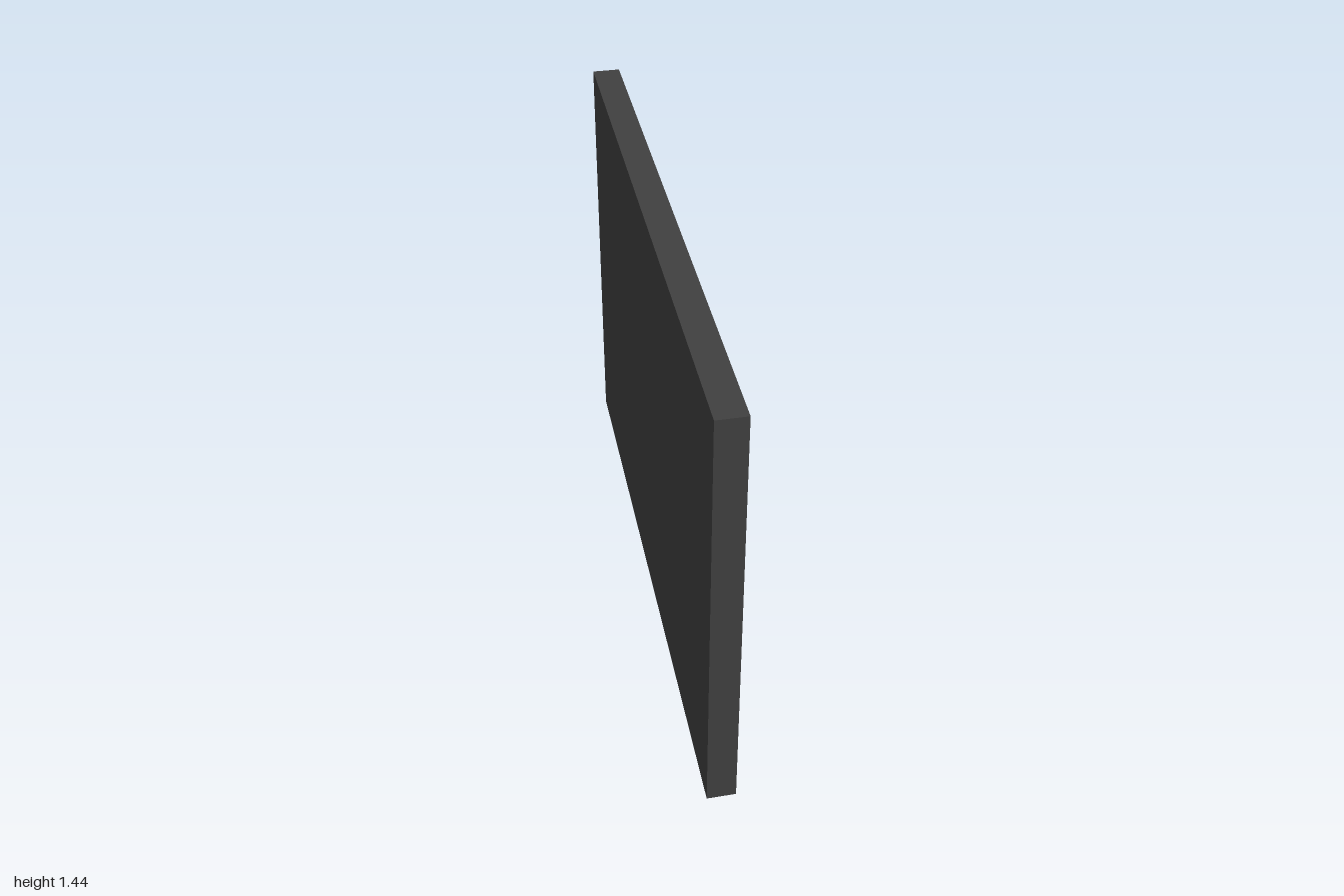
import * as THREE from 'three';

export function createModel() {
  const group = new THREE.Group();
  const panelMaterial = new THREE.MeshStandardMaterial({ color: 0x404040 });
  const handleMaterial = new THREE.MeshStandardMaterial({ color: 0x0a0a0a });

  const add = (parent, name, geometry, material, x, y, z) => {
    const mesh = new THREE.Mesh(geometry, material);
    mesh.name = name;
    mesh.position.set(x, y, z);
    parent.add(mesh);
    return mesh;
  };

  // Flat door panel
  const faceX = -0.018;
  const thickness = 0.09;
  add(group, 'panel', new THREE.BoxGeometry(thickness, 1.44, 2), panelMaterial, faceX - thickness / 2, 0.72, 0);

  // Round bar handle low on the +x face
  const handle = new THREE.Group();
  handle.name = 'handle';
  handle.position.y = 0.155;
  group.add(handle);
  const radius = 0.03;
  const gripX = 0.077;
  const halfSpan = 0.19;

  const grip = add(handle, 'grip', new THREE.CylinderGeometry(radius, radius, halfSpan * 2, 32), handleMaterial, gripX, 0, 0);
  grip.rotation.x = Math.PI / 2;

  // Mirrored legs with rounded corners
  const legLength = gripX - faceX;
  for (const side of [1, -1]) {
    const leg = add(handle, 'handleLeg', new THREE.CylinderGeometry(radius, radius, legLength, 32),
      handleMaterial, faceX + legLength / 2, 0, side * halfSpan);
    leg.rotation.z = Math.PI / 2;
    add(handle, 'handleCorner', new THREE.SphereGeometry(radius, 32, 20), handleMaterial, gripX, 0, side * halfSpan);
  }

  return group;
}
